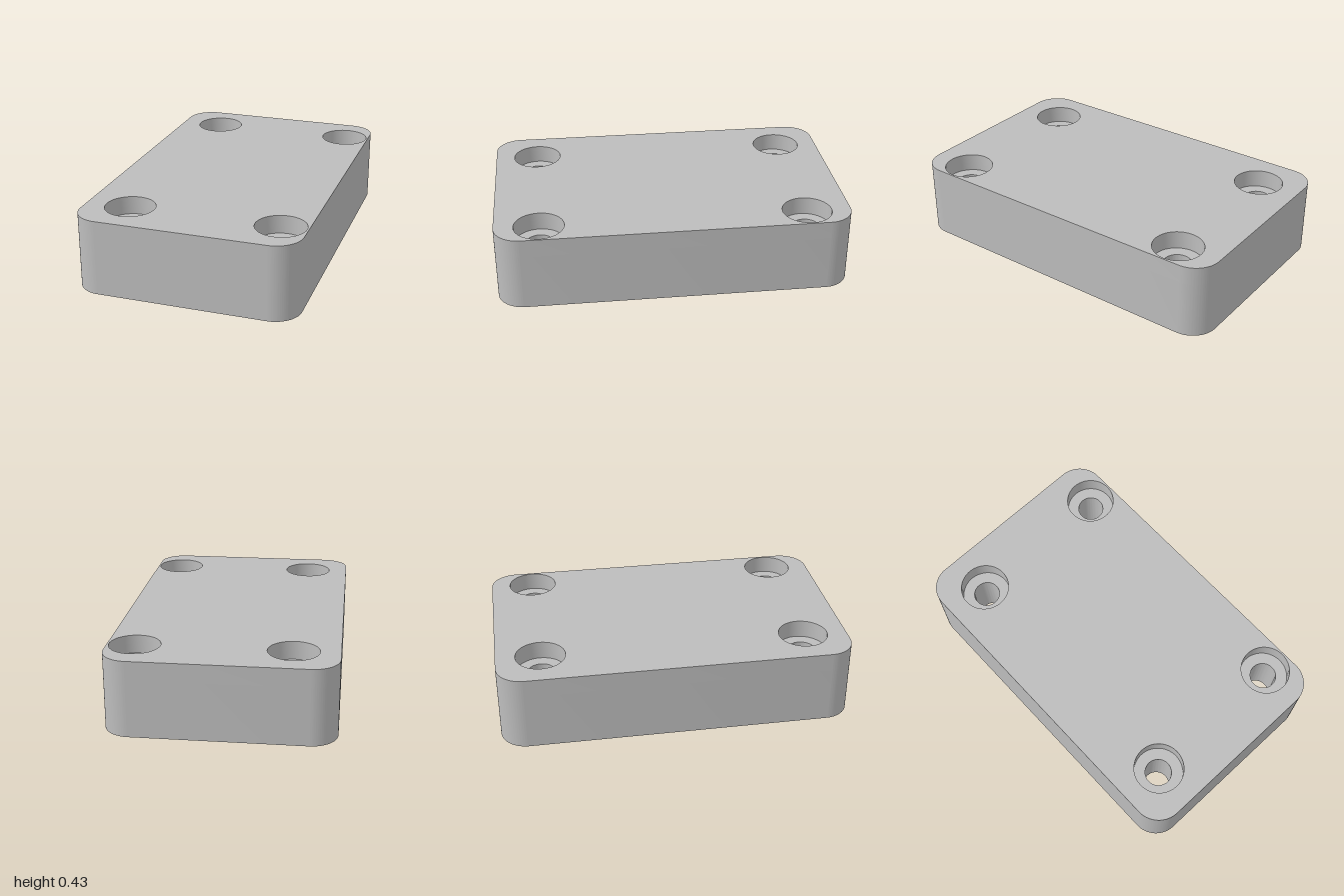
import * as THREE from 'three';
import { toCreasedNormals } from 'three/addons/utils/BufferGeometryUtils.js';

const HALF_X = 0.625, HALF_Z = 1, CORNER = 0.15, WALL = 0.1;
const CEILING = 0.325, HEIGHT = 0.428;
const LEFT_X = 0.475, RIGHT_X = -0.375, POST_Z = 0.75;
const POST_R = 0.15, SCREW_R = 0.075, BORE_R = 0.14;

const grey = new THREE.MeshStandardMaterial({ color: 0xbdbdbd });
grey.name = 'grey plastic';

function circle(x, y, r) {
  return new THREE.Path().absarc(x, y, r, 0, Math.PI * 2, true);
}

// Rounded rectangle outline of the case
function outline() {
  const s = new THREE.Shape();
  const x = HALF_X - CORNER, z = HALF_Z - CORNER, q = Math.PI / 2;
  s.absarc(x, z, CORNER, 0, q);
  s.absarc(-x, z, CORNER, q, 2 * q);
  s.absarc(-x, -z, CORNER, 2 * q, 3 * q);
  s.absarc(x, -z, CORNER, 3 * q, 4 * q);
  s.closePath();
  return s;
}

// Extrude a plan shape upward from y0 to y1
function slab(name, shape, y0, y1) {
  const geo = new THREE.ExtrudeGeometry(shape, { depth: y1 - y0, bevelEnabled: false, curveSegments: 32 });
  geo.rotateX(-Math.PI / 2).translate(0, y0, 0);
  const mesh = new THREE.Mesh(toCreasedNormals(geo, 0.6), grey);
  mesh.name = name;
  return mesh;
}

export function createModel() {
  const model = new THREE.Group();
  model.name = 'enclosureCover';

  // Side walls, with the two left screw posts merged into them
  const ix = HALF_X - WALL, iz = HALF_Z - WALL;
  const bite = Math.PI * 1.5 + Math.asin((ix - LEFT_X) / POST_R);
  const cavity = new THREE.Path();
  cavity.moveTo(-ix, -iz);
  cavity.lineTo(-ix, iz);
  cavity.lineTo(LEFT_X, iz);
  cavity.absarc(LEFT_X, POST_Z, POST_R, Math.PI / 2, bite, false);
  cavity.absarc(LEFT_X, -POST_Z, POST_R, -bite, -Math.PI / 2, false);
  cavity.lineTo(-ix, -iz);
  const walls = outline();
  walls.holes.push(cavity);
  for (const s of [-1, 1]) walls.holes.push(circle(LEFT_X, s * POST_Z, SCREW_R));
  model.add(slab('walls', walls, 0, CEILING));

  // Free-standing right screw posts
  for (const s of [-1, 1]) {
    const post = new THREE.Shape();
    post.absarc(RIGHT_X, s * POST_Z, POST_R, 0, Math.PI * 2);
    post.holes.push(circle(RIGHT_X, s * POST_Z, SCREW_R));
    model.add(slab(s > 0 ? 'backScrewPost' : 'frontScrewPost', post, 0, CEILING));
  }

  // Top plate with wide counterbores for the screw heads
  const top = outline();
  for (const x of [LEFT_X, RIGHT_X])
    for (const s of [-1, 1]) top.holes.push(circle(x, s * POST_Z, BORE_R));
  model.add(slab('topPlate', top, CEILING, HEIGHT));

  // Cross rib hanging from the ceiling near the front
  const rib = new THREE.Mesh(new THREE.BoxGeometry(2 * ix, CEILING - 0.1, 0.1), grey);
  rib.name = 'crossRib';
  rib.position.set(0, (CEILING + 0.1) / 2, 0.5);
  model.add(rib);

  return model;
}
